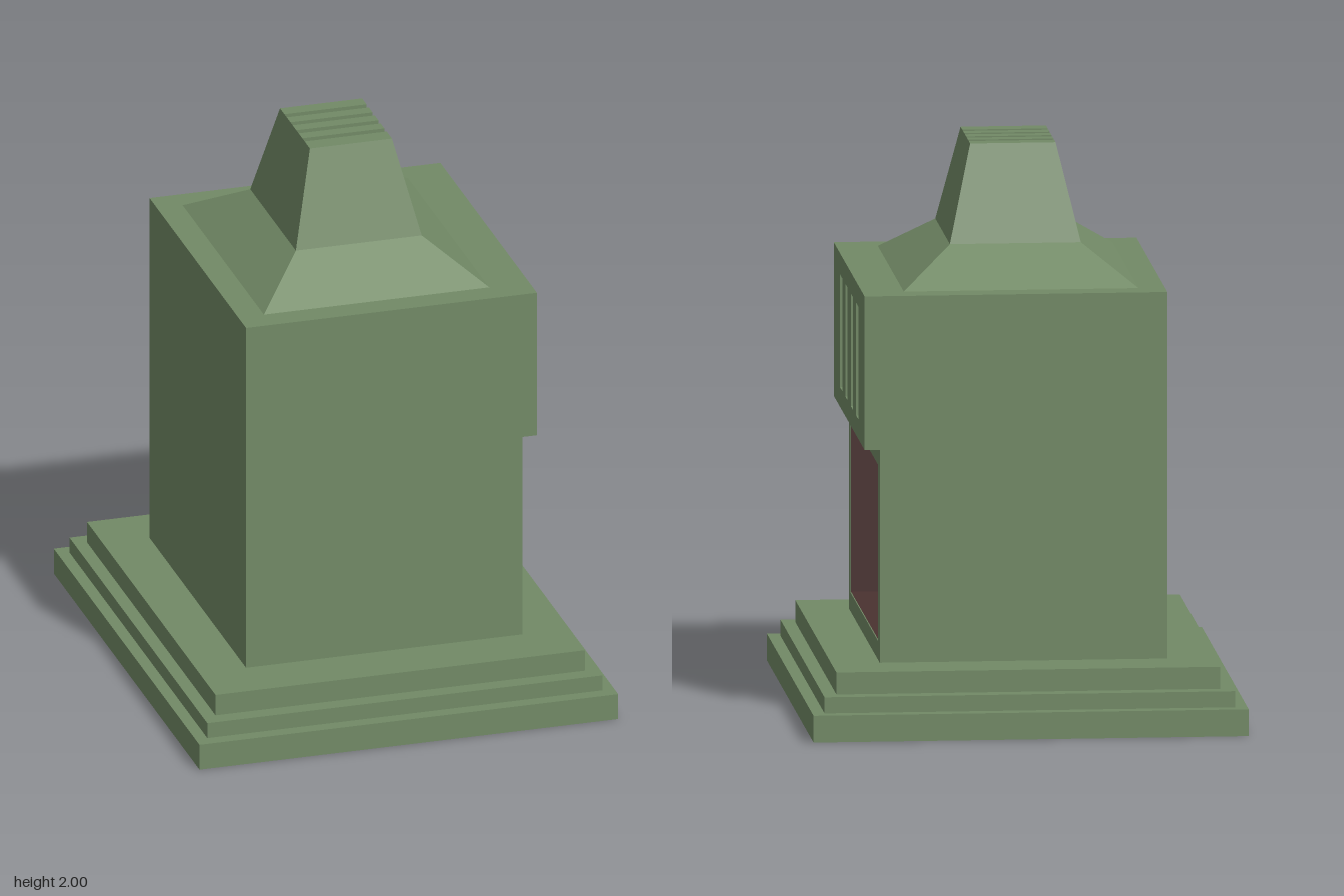
import * as THREE from 'three';

const green = new THREE.MeshStandardMaterial({ color: 0x728a66 });
const orange = new THREE.MeshStandardMaterial({ color: 0xa86642 });
const brown = new THREE.MeshStandardMaterial({ color: 0x4a3230, side: THREE.DoubleSide });

export function createModel() {
  const group = new THREE.Group();

  const add = (name, geometry, material = green) => {
    const mesh = new THREE.Mesh(geometry, material);
    mesh.name = name;
    group.add(mesh);
    return mesh;
  };

  // Box given by its lower and upper corner
  const box = (name, [x0, y0, z0], [x1, y1, z1], material) =>
    add(name, new THREE.BoxGeometry(x1 - x0, y1 - y0, z1 - z0), material)
      .position.set((x0 + x1) / 2, (y0 + y1) / 2, (z0 + z1) / 2);

  const rect = (Type, z0, y0, z1, y1) => new Type([
    new THREE.Vector2(z0, y0), new THREE.Vector2(z1, y0),
    new THREE.Vector2(z1, y1), new THREE.Vector2(z0, y1),
  ]);

  // Upright panel facing +x with rectangular holes, from x0 to x1
  const panel = (name, outer, holes, x0, x1) => {
    const shape = rect(THREE.Shape, ...outer);
    shape.holes = holes.map((h) => rect(THREE.Path, ...h));
    const g = new THREE.ExtrudeGeometry(shape, { depth: x1 - x0, bevelEnabled: false });
    add(name, g.rotateY(Math.PI / 2).translate(x0, 0, 0));
  };

  // Four-sided tapered block: half sizes at bottom and top
  const taper = (name, y0, [bx, bz], y1, [tx, tz], openTop = false) => {
    const g = new THREE.BoxGeometry(2, y1 - y0, 2);
    const p = g.attributes.position;
    for (let i = 0; i < p.count; i++) {
      const top = p.getY(i) > 0;
      p.setXYZ(i, p.getX(i) * (top ? tx : bx), top ? y1 : y0, p.getZ(i) * (top ? tz : bz));
    }
    if (openTop) {
      const index = Array.from(g.index.array);
      g.setIndex([...index.slice(0, 12), ...index.slice(18)]);
    }
    g.computeVertexNormals();
    add(name, g);
  };

  // Stepped base
  [[0.765, 0.888, 0, 0.095], [0.722, 0.84, 0.095, 0.152], [0.675, 0.783, 0.152, 0.23]]
    .forEach(([x, z, y0, y1], i) => box(`baseStep${i + 1}`, [-x, y0, -z], [x, y1, z]));

  // Body with the firebox cut into its +x side
  const back = 0.18;
  box('bodyRear', [-0.505, 0.23, -0.588], [back, 1.53, 0.588]);
  panel('bodyFrame', [-0.588, 0.23, 0.588, 1.53], [[-0.527, 0.297, 0.527, 0.922]], back, 0.505);

  // Dark lining, open towards +x
  const lining = new THREE.BoxGeometry(0.505 - back - 0.006, 0.62, 1.05);
  lining.scale(-1, 1, 1);
  lining.setIndex(Array.from(lining.index.array).filter((v) => v < 4 || v > 7));
  // Turn the mirrored faces inward
  lining.computeVertexNormals();
  add('fireboxLining', lining, brown).position.set((back + 0.505) / 2 + 0.001, 0.6095, 0);

  // Overhanging breast with four vents
  const ventZ = [-0.308, -0.1025, 0.1025, 0.308];
  panel('breast', [-0.588, 0.985, 0.588, 1.53],
    ventZ.map((z) => [z - 0.045, 1.055, z + 0.045, 1.455]), 0.505, 0.558);
  ventZ.forEach((z, i) =>
    box(`ventBack${i + 1}`, [0.5, 1.055, z - 0.045], [0.508, 1.455, z + 0.045], orange));

  // Hood and chimney
  taper('hood', 1.53, [0.412, 0.495], 1.66, [0.23, 0.278]);
  taper('chimney', 1.66, [0.23, 0.278], 2, [0.15, 0.182], true);

  // Chimney grille: slats over a recessed floor
  box('grilleFloor', [-0.15, 1.94, -0.182], [0.15, 1.95, 0.182], orange);
  [[-0.182, -0.128], [-0.1, -0.055], [-0.028, 0.017], [0.045, 0.09], [0.118, 0.182]]
    .forEach(([z0, z1], i) => box(`grilleSlat${i + 1}`, [-0.15, 1.95, z0], [0.15, 2, z1]));

  return group;
}
